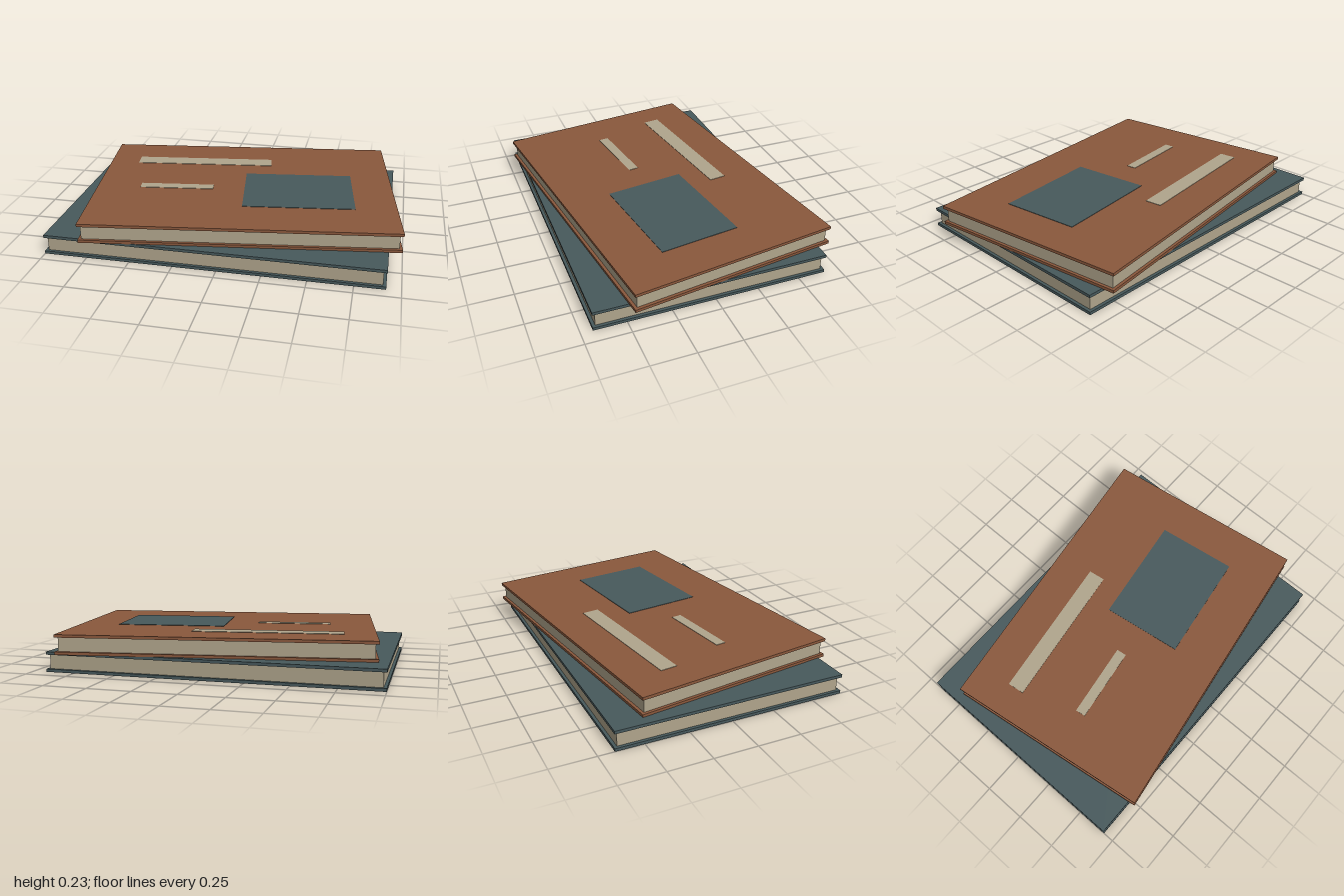
import * as THREE from 'three';

export function createModel() {
  const material = (name, color) => {
    const m = new THREE.MeshStandardMaterial({ color });
    m.name = name;
    return m;
  };
  const teal = material('tealCloth', 0x47595c);
  const brown = material('brownLeather', 0x8a583c);
  const paper = material('paper', 0xb0a58c);

  // Box whose underside sits at height y
  const slab = (name, mat, [w, h, d], [x, y, z]) => {
    const mesh = new THREE.Mesh(new THREE.BoxGeometry(w, h, d), mat);
    mesh.name = name;
    mesh.position.set(x, y + h / 2, z);
    return mesh;
  };

  // Two cover boards with a slightly smaller page block between them
  const board = 0.017;
  const makeBook = (name, cover, w, d, inset, h) => {
    const book = new THREE.Group();
    book.name = name;
    book.add(
      slab('lowerCover', cover, [w, board, d], [0, 0, 0]),
      slab('pages', paper, [w - inset, h - 2 * board, d - inset], [0, board, 0]),
      slab('upperCover', cover, [w, board, d], [0, h - board, 0]),
    );
    return book;
  };

  const lower = makeBook('lowerBook', teal, 1.92, 1.345, 0.035, 0.117);
  lower.position.set(-0.04, 0, 0.0125);

  // Upper book lies turned on the lower one
  const upper = makeBook('upperBook', brown, 1.787, 1.222, 0.034, 0.115);
  upper.position.set(0.025, 0.115, -0.003);
  upper.rotation.y = 0.138;

  // Thin plates on the upper cover
  const t = 0.003, y = 0.1145;
  upper.add(
    slab('titleStrip', paper, [0.867, t, 0.1], [-0.279, y, -0.336]),
    slab('subtitleStrip', paper, [0.443, t, 0.06], [-0.409, y, 0.068]),
    slab('coverPanel', teal, [0.65, t, 0.475], [0.328, y, 0.09]),
  );

  const model = new THREE.Group();
  model.name = 'bookStack';
  model.add(lower, upper);
  return model;
}
